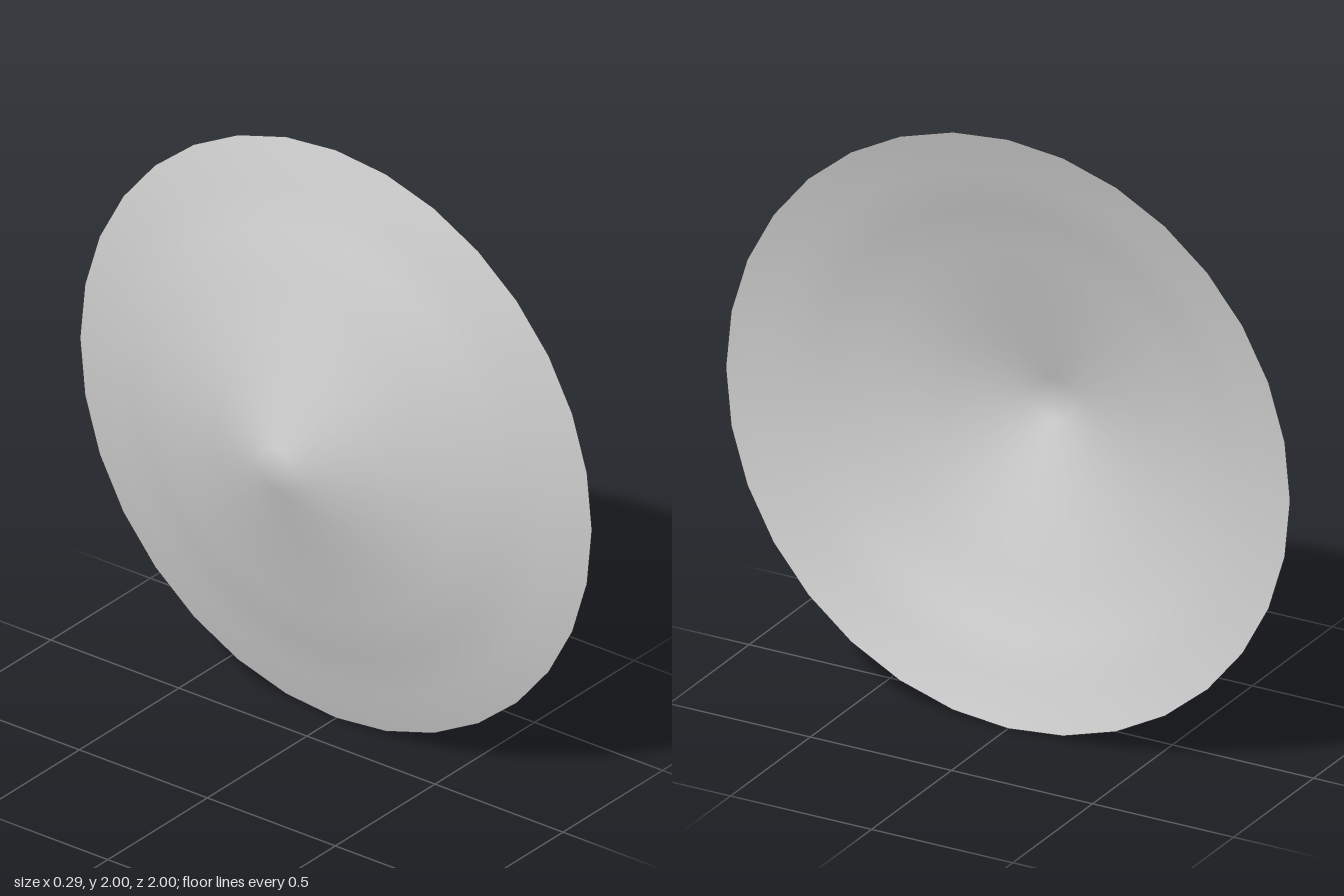
import * as THREE from 'three';

export function createModel() {
  const group = new THREE.Group();

  // Dish profile: radius, then position along the axis, from tip to rim
  const profile = [
    [0, -0.148], [0.072, -0.148], [0.315, -0.05], [0.56, 0],
    [0.72, 0.066], [0.86, 0.102], [1, 0.146],
  ].map(([r, h]) => new THREE.Vector2(r, h));

  // Thin 32-sided shell, turned so that it opens toward +x
  const geometry = new THREE.LatheGeometry(profile, 32);
  geometry.rotateZ(-Math.PI / 2);
  const material = new THREE.MeshStandardMaterial({ color: 0xcccccc, side: THREE.DoubleSide });
  const dish = new THREE.Mesh(geometry, material);
  dish.name = 'dish';
  dish.position.y = 1;
  group.add(dish);

  return group;
}
